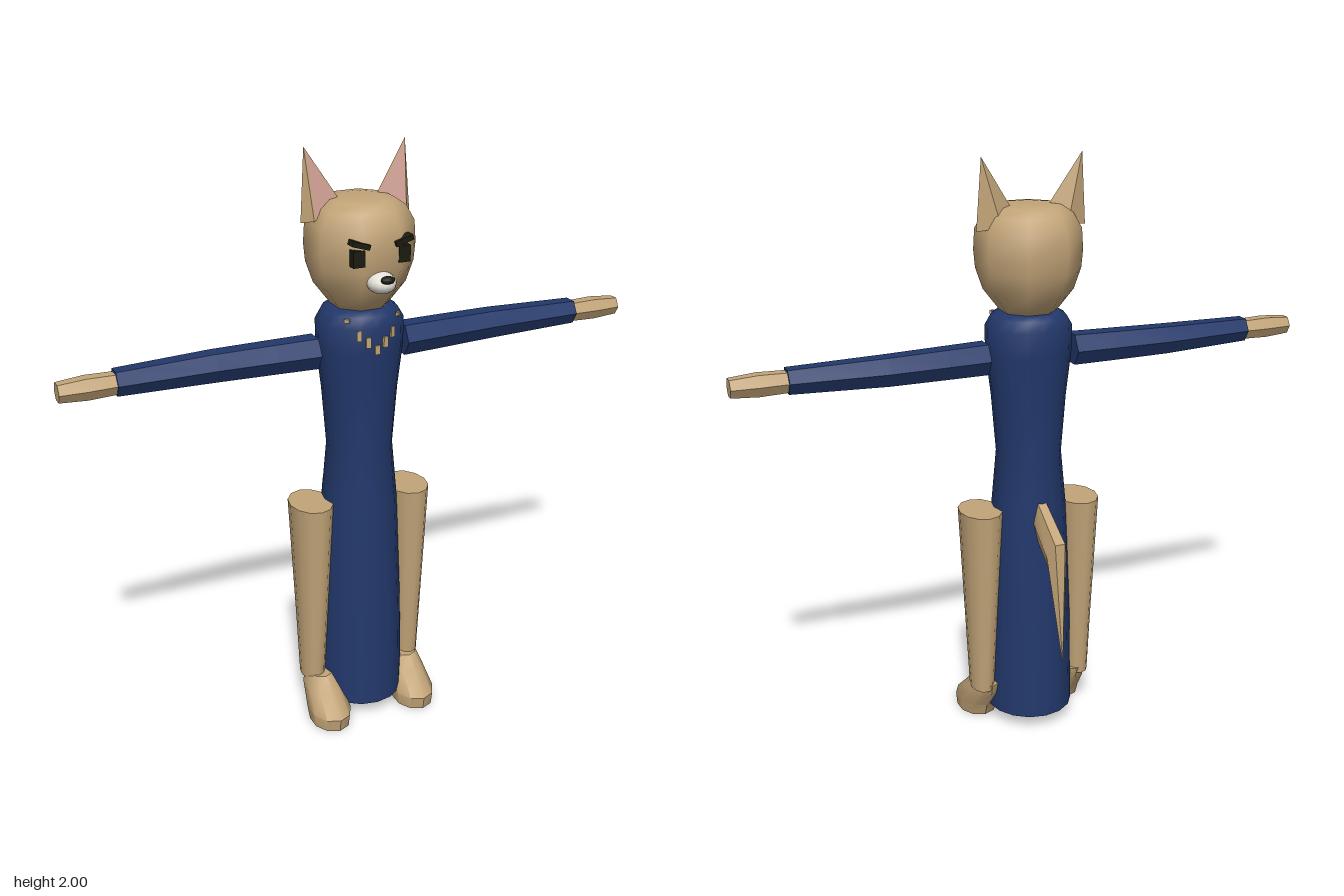
import * as THREE from 'three';
import { toCreasedNormals } from 'three/addons/utils/BufferGeometryUtils.js';

const V = (x, y, z) => new THREE.Vector3(x, y, z);

// Skin a row of elliptical rings [centre, u, v]; u x v points along the row. Ends are capped.
function loft(rings, sides, crease, phase = 0) {
  const pos = [], idx = [];
  const put = p => pos.push(p.x, p.y, p.z);
  for (const [c, u, v] of rings) {
    for (let i = 0; i < sides; i++) {
      const a = phase + (i / sides) * Math.PI * 2;
      put(c.clone().addScaledVector(u, Math.cos(a)).addScaledVector(v, Math.sin(a)));
    }
  }
  const last = rings.length - 1, foot = rings.length * sides, head = foot + 1;
  put(rings[0][0]);
  put(rings[last][0]);
  for (let i = 0; i < sides; i++) {
    const j = (i + 1) % sides;
    for (let k = 0; k < last; k++) {
      const a = k * sides + i, b = k * sides + j;
      idx.push(a, b, b + sides, a, b + sides, a + sides);
    }
    idx.push(foot, j, i, head, last * sides + i, last * sides + j);
  }
  const g = new THREE.BufferGeometry();
  g.setAttribute('position', new THREE.Float32BufferAttribute(pos, 3));
  g.setIndex(idx);
  return toCreasedNormals(g, crease);
}

// Upright ring with half width rx and half depth rz
const level = (x, y, z, rx, rz) => [V(x, y, z), V(0, 0, rz), V(rx, 0, 0)];

// Flat-shaded faces from corner triples
function faces(triples) {
  const g = new THREE.BufferGeometry().setFromPoints(triples.flat());
  g.computeVertexNormals();
  return g;
}

export function createModel() {
  const model = new THREE.Group();
  model.name = 'robedFox';
  const mat = (name, color) => {
    const m = new THREE.MeshStandardMaterial({ color });
    m.name = name;
    return m;
  };
  const fur = mat('tanFur', 0xc2a478);
  const cloth = mat('navyCloth', 0x22386b);
  const pink = mat('pinkInnerEar', 0xcf9f94);
  const dark = mat('darkFeatures', 0x1c1b10);
  const white = mat('whiteMuzzle', 0xe6e2d8);
  const add = (name, geo, material) => {
    const m = new THREE.Mesh(geo, material);
    m.name = name;
    model.add(m);
    return m;
  };
  const CZ = 0.037;

  // Long robe
  const robe = [[0.05, 0.15, 0.157], [0.4, 0.146, 0.14], [0.8, 0.13, 0.123], [1.0, 0.11, 0.117],
    [1.2, 0.127, 0.123], [1.35, 0.146, 0.132], [1.44, 0.146, 0.137], [1.475, 0.125, 0.125], [1.49, 0.1, 0.105]];
  add('robe', loft(robe.map(([y, rx, rz]) => level(0, y, CZ, rx, rz)), 16, 0.8), cloth);

  // Eight-sided head, widths measured across the flats
  const skull = [[1.47, 0.07], [1.5, 0.095], [1.56, 0.138], [1.63, 0.16], [1.69, 0.165],
    [1.76, 0.161], [1.81, 0.135], [1.835, 0.1], [1.84, 0.06]];
  const across = 1 / Math.cos(Math.PI / 8);
  add('head', loft(skull.map(([y, r]) => level(0, y, CZ, r * across, r * across)), 8, 1.0, Math.PI / 8), fur);

  // Muzzle and nose
  const muzzle = add('muzzle', new THREE.SphereGeometry(1, 14, 10), white);
  muzzle.scale.set(0.047, 0.035, 0.055);
  muzzle.position.set(0, 1.6, 0.195);
  const nose = add('nose', new THREE.SphereGeometry(1, 10, 8), dark);
  nose.scale.set(0.024, 0.013, 0.016);
  nose.position.set(0, 1.62, 0.243);

  for (const s of [1, -1]) {
    const side = s > 0 ? 'left' : 'right';

    // Eyes and slanted brows
    add(side + 'Eye', new THREE.BoxGeometry(0.04, 0.053, 0.03), dark).position.set(s * 0.078, 1.684, 0.188);
    const brow = add(side + 'Brow', new THREE.BoxGeometry(0.062, 0.017, 0.035), dark);
    brow.position.set(s * 0.074, 1.728, 0.194);
    brow.rotation.z = s * 0.3;

    // Pointed ears with a pink front
    const tip = V(s * 0.174, 2.0, 0.003), inner = V(s * 0.06, 1.825, 0.025);
    const front = V(s * 0.16, 1.775, 0.05), outer = V(s * 0.19, 1.765, 0.01), back = V(s * 0.115, 1.775, -0.022);
    const turn = list => list.map(([a, b, c]) => (s > 0 ? [a, b, c] : [a, c, b]));
    add(side + 'Ear', faces(turn([[inner, front, tip], [front, outer, tip], [outer, back, tip],
      [back, inner, tip], [inner, back, front], [back, outer, front]])), fur);
    const mid = V(0, 0, 0).add(inner).add(front).add(tip).divideScalar(3);
    const inset = [inner, front, tip].map(p => p.clone().lerp(mid, 0.12).add(V(0, 0, 0.003)));
    add(side + 'InnerEar', faces(turn([inset])), pink);

    // Six-sided sleeves and hands
    const limb = list => loft(list.map(([x, y, z, r]) =>
      [V(s * x, y, z), V(0, 0, r), V(0, -s * r, 0)]), 6, 0.3);
    add(side + 'Sleeve', limb([[0.155, 1.343, 0.032, 0.059], [0.3, 1.343, 0.026, 0.057],
      [0.5, 1.343, 0.019, 0.054], [0.82, 1.344, 0.028, 0.045]]), cloth);
    add(side + 'Hand', limb([[0.815, 1.342, 0.029, 0.037], [0.91, 1.342, 0.03, 0.04], [1.0, 1.341, 0.031, 0.033]]), fur);

    // Tapered legs
    add(side + 'Leg', loft([level(s * 0.182, 0.135, 0.035, 0.04, 0.06), level(s * 0.181, 0.36, 0.036, 0.051, 0.072),
      level(s * 0.18, 0.81, 0.035, 0.073, 0.098)], 12, 0.8), fur);

    // Feet sloping forward to the toes
    add(side + 'Foot', loft([level(s * 0.163, 0, 0.143, 0.068, 0.088), level(s * 0.163, 0.045, 0.138, 0.073, 0.1),
      level(s * 0.163, 0.11, 0.075, 0.062, 0.085), level(s * 0.165, 0.155, 0.045, 0.047, 0.07)], 10, 0.7), fur);
  }

  // Drooping tail
  const tailRing = (y, z, dy, dz, w, h) => [V(0, y, z), V(w, 0, 0), V(0, dz * h, -dy * h)];
  add('tail', loft([tailRing(0.79, -0.06, -0.3, -0.95, 0.03, 0.07), tailRing(0.7, -0.203, -0.47, -0.88, 0.036, 0.068),
    tailRing(0.34, -0.255, -1, -0.15, 0.002, 0.002)], 6, 0.5), fur);

  // Fur tufts in a V at the collar
  const tufts = [[-0.09, 1.468, 0.012], [-0.058, 1.42, 0.035], [-0.03, 1.397, 0.035], [0, 1.37, 0.03],
    [0.03, 1.392, 0.035], [0.058, 1.42, 0.035], [0.09, 1.468, 0.012]];
  for (const [x, y, h] of tufts) {
    const tuft = add('chestTuft', new THREE.BoxGeometry(0.017, h, 0.008), fur);
    const rz = y > 1.45 ? 0.127 : 0.136;
    tuft.position.set(x, y, CZ + rz * Math.sqrt(1 - (x / 0.145) ** 2));
    tuft.rotation.y = Math.asin(x / 0.145);
  }
  return model;
}
